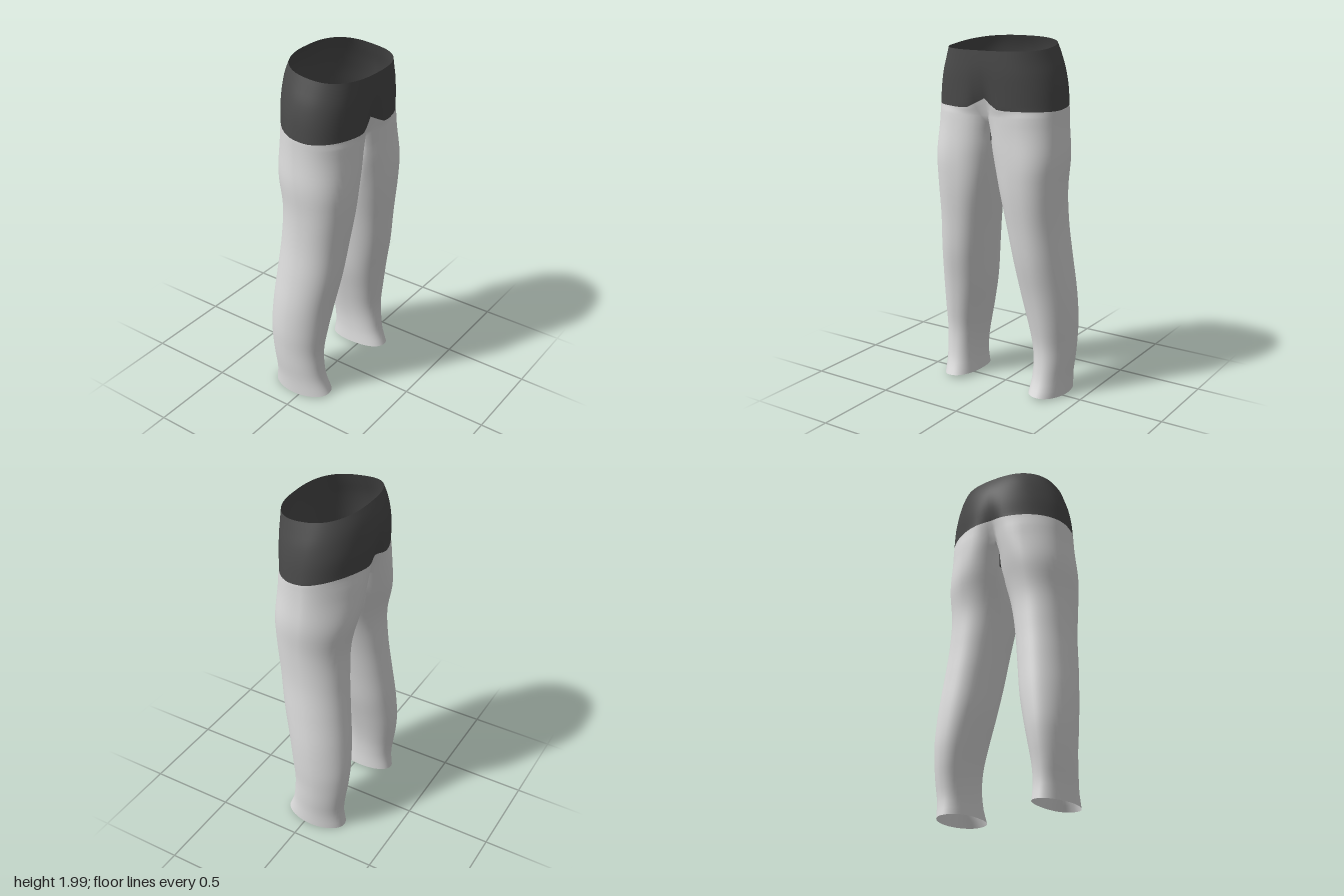
import * as THREE from 'three';
import { mergeVertices } from 'three/addons/utils/BufferGeometryUtils.js';

const N = 48;            // points round a leg
const FRONT = 18;        // ring index of the centre seam at the front; the back is N - FRONT
const LEG_ROWS = 44;
const WAIST_ROWS = 12;

// y, outer x, inner x, front z, back z, flatness of the inner thigh,
// squareness of the corners: outer front, outer back, inner back
const LEG = [
  [0.015, 0.395, 0.197, 0.150, -0.218, 0, 2.0, 1.9, 2.2],
  [0.10, 0.397, 0.204, 0.118, -0.207, 0, 2.0, 1.9, 2.2],
  [0.20, 0.406, 0.203, 0.101, -0.216, 0, 2.0, 1.9, 2.2],
  [0.30, 0.412, 0.190, 0.097, -0.230, 0, 2.0, 1.85, 2.2],
  [0.42, 0.418, 0.166, 0.112, -0.238, 0, 2.0, 1.85, 2.2],
  [0.60, 0.415, 0.127, 0.140, -0.229, 0, 2.05, 1.85, 2.2],
  [0.80, 0.399, 0.097, 0.178, -0.207, 0, 2.1, 1.9, 2.2],
  [1.00, 0.383, 0.066, 0.203, -0.187, 0, 2.2, 1.95, 2.1],
  [1.20, 0.383, 0.036, 0.226, -0.182, 0.2, 2.3, 1.9, 2.0],
  [1.40, 0.395, 0.014, 0.237, -0.220, 0.6, 2.3, 1.75, 1.95],
  [1.52, 0.391, 0.010, 0.239, -0.236, 0.85, 2.3, 1.7, 1.95],
  [1.60, 0.383, 0.000, 0.240, -0.245, 1, 2.3, 1.7, 2.0],
];
// height fraction, half width, front z, back z, squareness at the back
const WAIST = [
  [0, 0.380, 0.242, -0.252, 1.85],
  [0.33, 0.368, 0.247, -0.254, 1.9],
  [0.6, 0.348, 0.251, -0.244, 2.0],
  [0.82, 0.322, 0.252, -0.222, 2.25],
  [1, 0.300, 0.252, -0.195, 2.5],
];

// smooth reading of a table by its first column
function sample(table, t) {
  let i = 0;
  while (i < table.length - 2 && t > table[i + 1][0]) i++;
  const p = (k) => table[Math.min(Math.max(k, 0), table.length - 1)];
  const a = p(i), b = p(i + 1), h = b[0] - a[0], u = (t - a[0]) / h;
  const slope = (k, c) => (p(k + 1)[c] - p(k - 1)[c]) / (p(k + 1)[0] - p(k - 1)[0]);
  return a.map((_, c) =>
    a[c] * (2 * u ** 3 - 3 * u * u + 1) + b[c] * (3 * u * u - 2 * u ** 3) +
    h * (slope(i, c) * (u ** 3 - 2 * u * u + u) + slope(i + 1, c) * (u ** 3 - u * u)));
}

const power = (v, n) => Math.sign(v) * Math.abs(v) ** (2 / n);

// closed ring of one trouser leg
function legPoint(y, k) {
  const [, outer, inner, front, back, flat, outerFront, outerBack, innerBack] = sample(LEG, y);
  const angle = (k / N) * Math.PI * 2, s = Math.sin(angle);
  let c = Math.cos(angle);
  const n = c < 0 ? (s > 0 ? 2.4 : innerBack) : (s > 0 ? outerFront : outerBack);
  if (c < 0) c = Math.max(-1, c / (1 - 0.2929 * flat));
  const p = new THREE.Vector3(
    (outer + inner) / 2 + (outer - inner) / 2 * power(c, n), y,
    (front + back) / 2 + (front - back) / 2 * power(s, n));
  // ease the outer thigh into the hip
  const around = k > N / 2 ? k - N : k;
  if (Math.abs(around) < FRONT) {
    const hip = waistPoint(0, around);
    const ease = 0.85 * THREE.MathUtils.smoothstep(y, 1.3, 1.62) * (1 - (around / FRONT) ** 4);
    p.x += (hip.x - p.x) * ease;
    p.z += (hip.z - p.z) * ease;
  }
  // gently uneven hem
  p.y += Math.max(0, 1 - y / 0.12) * 0.008 * (s - Math.cos(angle));
  return p;
}

// half ring of the waist, from the front seam round the hip to the back seam
function waistPoint(v, k) {
  const [, half, front, back, square] = sample(WAIST, v);
  const angle = (k / FRONT) * Math.PI / 2;
  const n = k > 0 ? 2.5 : square;
  const x = Math.abs(k) === FRONT ? 0 : half * power(Math.cos(angle), n);
  let z = (front + back) / 2 + (front - back) / 2 * power(Math.sin(angle), n);
  const seam = Math.exp(-((x / 0.06) ** 2));
  z -= Math.sign(z) * 0.03 * seam * (1 - v) ** 3;
  const low = 1.64 + 0.045 * THREE.MathUtils.smoothstep(-z, -0.1, 0.25) + (z > 0 ? 0.055 : 0.015) * seam;
  const rim = 1.95 + 0.05 * THREE.MathUtils.clamp((0.25 - z) / 0.445, 0, 1) ** 2;
  return new THREE.Vector3(x, low + (rim - low) * v, z);
}

export function createModel() {
  const positions = [];
  const legIndex = [], waistIndex = [], gussetIndex = [];

  for (const side of [1, -1]) {
    const add = (p) => positions.push(side * p.x, p.y, p.z) / 3 - 1;
    const quad = (list, a, b, c, d) =>
      side > 0 ? list.push(b, a, c, b, c, d) : list.push(a, b, c, b, d, c);

    // leg, hem to crotch
    let rows = [];
    for (let r = 0; r <= LEG_ROWS; r++) {
      const y = 0.015 + 1.585 * r / LEG_ROWS;
      rows.push(Array.from({ length: N }, (_, k) => add(legPoint(y, k))));
    }
    for (let r = 0; r < LEG_ROWS; r++) {
      for (let k = 0; k < N; k++) {
        const j = (k + 1) % N;
        const gusset = r >= LEG_ROWS - 4 && k >= 20 && k < 28;
        quad(gusset ? gussetIndex : legIndex, rows[r][k], rows[r][j], rows[r + 1][k], rows[r + 1][j]);
      }
    }

    // hip: crotch up to the colour edge, then the waist up to the rim
    rows = [];
    for (let r = 0; r < 3; r++) {
      rows.push([]);
      for (let k = -FRONT; k <= FRONT; k++) {
        const p = legPoint(1.6, (k + N) % N);
        if (Math.abs(k) === FRONT) p.x = 0;
        rows[r].push(add(p.lerp(waistPoint(0, k), r / 3)));
      }
    }
    for (let r = 0; r <= WAIST_ROWS; r++) {
      rows.push([]);
      for (let k = -FRONT; k <= FRONT; k++) rows[r + 3].push(add(waistPoint(r / WAIST_ROWS, k)));
    }
    for (let r = 0; r < rows.length - 1; r++) {
      for (let k = 0; k < 2 * FRONT; k++) {
        quad(r < 3 ? legIndex : waistIndex, rows[r][k], rows[r][k + 1], rows[r + 1][k], rows[r + 1][k + 1]);
      }
    }
  }

  // weld the whole cloth so shading runs smoothly across the parts
  let cloth = new THREE.BufferGeometry();
  cloth.setAttribute('position', new THREE.Float32BufferAttribute(positions, 3));
  cloth.setIndex([...legIndex, ...waistIndex, ...gussetIndex]);
  cloth = mergeVertices(cloth, 1e-4);
  cloth.computeVertexNormals();
  const index = Array.from(cloth.index.array);

  const lightGrey = new THREE.MeshStandardMaterial({ color: 0xdedede, side: THREE.DoubleSide });
  lightGrey.name = 'light grey cloth';
  const darkGrey = new THREE.MeshStandardMaterial({ color: 0x4a4a4a, side: THREE.DoubleSide });
  darkGrey.name = 'dark grey cloth';

  const group = new THREE.Group();
  group.name = 'trousers';
  let start = 0;
  const part = (name, count, material) => {
    const geometry = new THREE.BufferGeometry();
    geometry.setAttribute('position', cloth.attributes.position);
    geometry.setAttribute('normal', cloth.attributes.normal);
    geometry.setIndex(index.slice(start, start + count));
    start += count;
    const mesh = new THREE.Mesh(geometry, material);
    mesh.name = name;
    group.add(mesh);
  };
  part('legs', legIndex.length, lightGrey);
  part('waist', waistIndex.length, darkGrey);
  part('crotchGusset', gussetIndex.length, darkGrey);
  return group;
}
